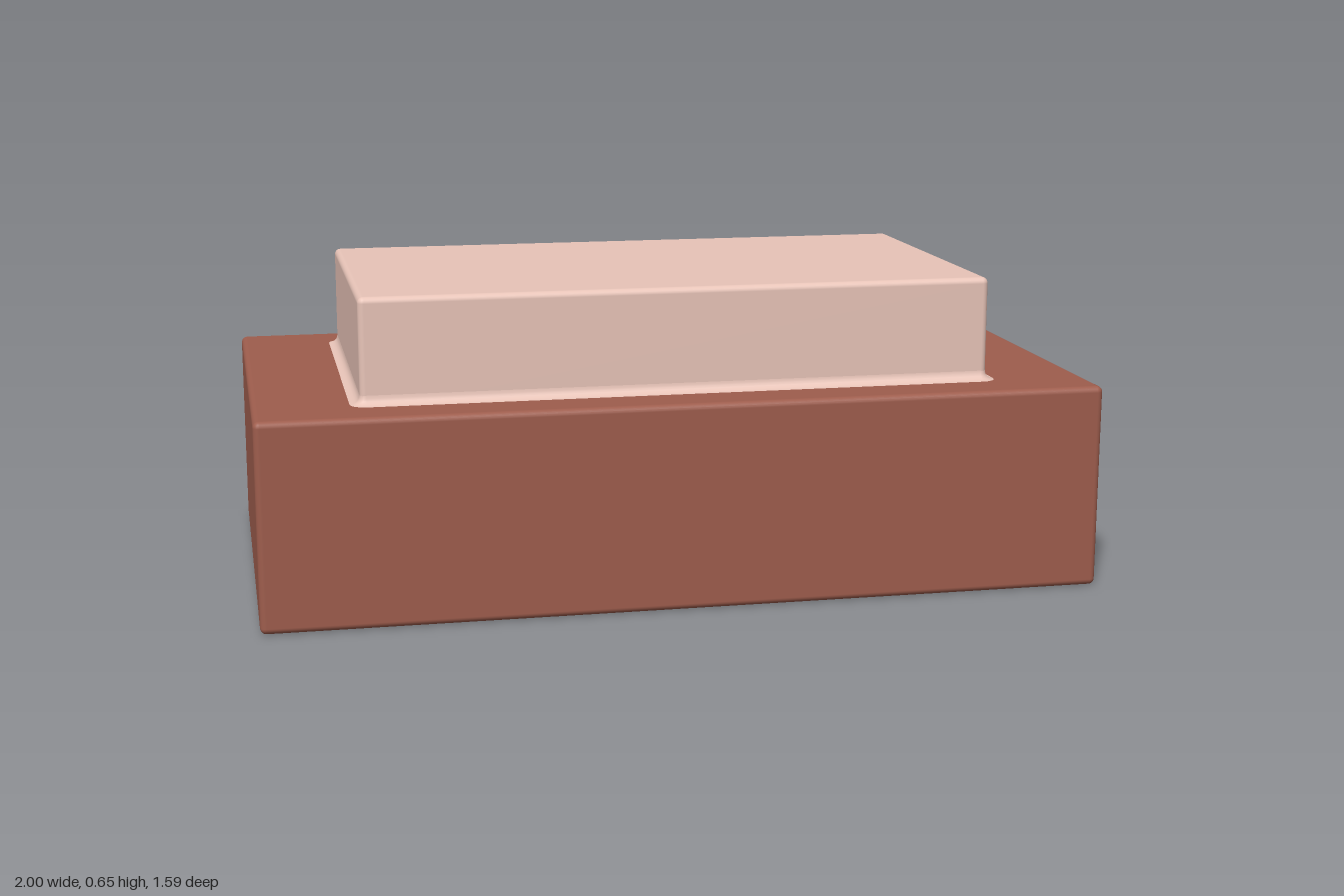
import * as THREE from 'three';
import { RoundedBoxGeometry } from 'three/addons/geometries/RoundedBoxGeometry.js';

const BASE = { l: 1.765, w: 0.965, h: 0.435 };
const PAD = { l: 1.33, w: 0.725, top: 0.655 };
const R = 0.013; // edge rounding
const FLARE = 0.02; // cove at the foot of the pad

// Outline of a rounded rectangle, as [x, z] pairs
function outline(l, w, r, steps = 4) {
  const points = [];
  [[1, 1], [-1, 1], [-1, -1], [1, -1]].forEach(([sx, sz], q) => {
    for (let i = 0; i <= steps; i++) {
      const a = (q + i / steps) * Math.PI / 2;
      points.push([sx * (l / 2 - r) + r * Math.cos(a), sz * (w / 2 - r) + r * Math.sin(a)]);
    }
  });
  return points;
}

// Concave skirt swept around a rounded rectangle
function coveGeometry(l, w, y, size, rings = 5) {
  const pos = [], index = [];
  let n = 0;
  for (let j = 0; j <= rings; j++) {
    const a = j / rings * Math.PI / 2;
    const d = size * (1 - Math.sin(a));
    const ring = outline(l + 2 * d, w + 2 * d, R + d);
    n = ring.length;
    ring.forEach(([x, z]) => pos.push(x, y + size * (1 - Math.cos(a)), z));
  }
  for (let j = 0; j < rings; j++) {
    for (let i = 0; i < n; i++) {
      const a = j * n + i, b = j * n + (i + 1) % n;
      index.push(a, a + n, b, b, a + n, b + n);
    }
  }
  const geo = new THREE.BufferGeometry();
  geo.setAttribute('position', new THREE.Float32BufferAttribute(pos, 3));
  geo.setIndex(index);
  geo.computeVertexNormals();
  return geo;
}

export function createModel() {
  const model = new THREE.Group();
  const brown = new THREE.MeshStandardMaterial({ color: 0x9e5d4d });
  const pink = new THREE.MeshStandardMaterial({ color: 0xe8c4b8 });
  const add = (name, geo, mat, y = 0) => {
    const mesh = new THREE.Mesh(geo, mat);
    mesh.name = name;
    mesh.position.y = y;
    model.add(mesh);
  };

  // Heavy lower block
  add('base', new RoundedBoxGeometry(BASE.l, BASE.h - 0.001, BASE.w, 3, R), brown, BASE.h / 2 + 0.0005);

  // Pale underside
  const under = new THREE.PlaneGeometry(BASE.l - 2 * R, BASE.w - 2 * R).rotateX(Math.PI / 2);
  add('underside', under, pink);

  // Raised pad, sunk slightly into the base
  const padH = PAD.top - BASE.h + 0.03;
  add('pad', new RoundedBoxGeometry(PAD.l, padH, PAD.w, 3, R), pink, PAD.top - padH / 2);

  // Cove where the pad meets the base
  add('padCove', coveGeometry(PAD.l, PAD.w, BASE.h, FLARE), pink);

  // The whole block stands turned on the ground
  model.rotation.y = -0.416;
  return model;
}
